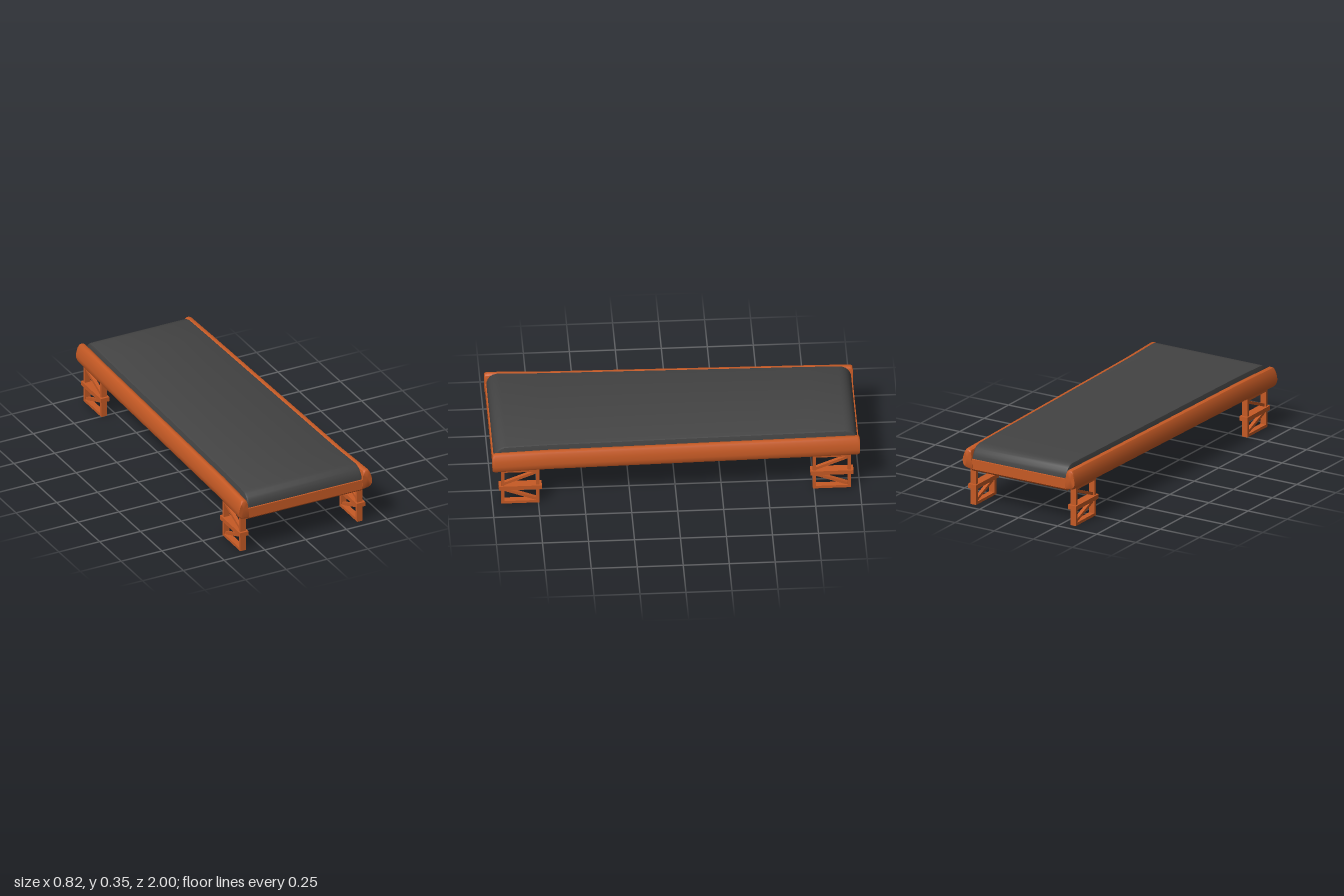
import * as THREE from 'three';
import { toCreasedNormals } from 'three/addons/utils/BufferGeometryUtils.js';

const orange = new THREE.MeshStandardMaterial({ color: 0xc65a25 });
const rubber = new THREE.MeshStandardMaterial({ color: 0x444444 });

// Half width of the belt along the tapering bed
const taper = [[-1, 0.30], [-0.75, 0.307], [0.7, 0.335], [1, 0.35]];
function halfWidth(z) {
  for (let i = 1; i < taper.length; i++) {
    const [z0, w0] = taper[i - 1], [z1, w1] = taper[i];
    if (z <= z1) return w0 + (w1 - w0) * (z - z0) / (z1 - z0);
  }
  return 0.35;
}

// Skin over counter-clockwise sections ordered by rising z, capped at both ends
function loft(sections) {
  const pos = [], tri = (a, b, c) => pos.push(...a, ...b, ...c);
  const n = sections[0].length;
  for (let i = 0; i + 1 < sections.length; i++) {
    for (let j = 0; j < n; j++) {
      const k = (j + 1) % n, s = sections[i], t = sections[i + 1];
      tri(s[j], s[k], t[k]);
      tri(s[j], t[k], t[j]);
    }
  }
  const cap = (s, flip) => {
    const c = [0, 1, 2].map(a => s.reduce((sum, p) => sum + p[a], 0) / n);
    for (let j = 0; j < n; j++) {
      const k = (j + 1) % n;
      if (flip) tri(c, s[k], s[j]); else tri(c, s[j], s[k]);
    }
  };
  cap(sections[0], true);
  cap(sections[sections.length - 1], false);
  const geo = new THREE.BufferGeometry();
  geo.setAttribute('position', new THREE.Float32BufferAttribute(pos, 3));
  return toCreasedNormals(geo, 0.6);
}

function add(parent, name, geometry, material = orange) {
  const mesh = new THREE.Mesh(geometry, material);
  mesh.name = name;
  parent.add(mesh);
  return mesh;
}

// Bulging side rail: offsets from the belt edge, with softened ends
function railGeometry(side) {
  const profile = [[-0.004, 0.216], [0.036, 0.222], [0.049, 0.228], [0.056, 0.242], [0.058, 0.265],
    [0.053, 0.295], [0.046, 0.32], [0.039, 0.331], [0.029, 0.335], [0.017, 0.334], [0.008, 0.327], [0.003, 0.31], [0, 0.28]];
  const stations = [[-1, 0.8], [-0.996, 0.92], [-0.985, 1], [-0.75, 1], [0.7, 1], [0.985, 1], [0.996, 0.92], [1, 0.8]];
  return loft(stations.map(([z, s]) => {
    const loop = profile.map(([x, y]) => [side * (halfWidth(z) + x), 0.275 + (y - 0.275) * s, z]);
    return side > 0 ? loop : loop.reverse();
  }));
}

// Bed between the rails
function bedGeometry() {
  const stations = [[-0.997, 0.222, 0.278], [-0.985, 0.21, 0.28], [-0.75, 0.21, 0.28],
    [0.7, 0.21, 0.28], [0.985, 0.21, 0.28], [0.997, 0.222, 0.278]];
  return loft(stations.map(([z, lo, hi]) => {
    const w = halfWidth(z) + 0.003;
    return [[-w, lo, z], [w, lo, z], [w, hi, z], [-w, hi, z]];
  }));
}

// Belt rolling down over both ends
function beltGeometry() {
  const end = [[0.99, 0.28], [0.988, 0.3], [0.981, 0.32], [0.97, 0.335], [0.955, 0.346], [0.938, 0.352], [0.92, 0.354]];
  const stations = [...end.map(([z, y]) => [-z, y]), [-0.75, 0.354], [0.7, 0.354], ...end.slice().reverse()];
  return loft(stations.map(([z, y]) => {
    const w = halfWidth(z);
    return [[-w, 0.25, z], [w, 0.25, z], [w, y - 0.012, z], [w - 0.003, y - 0.004, z], [w - 0.012, y, z],
      [-w + 0.012, y, z], [-w + 0.003, y - 0.004, z], [-w, y - 0.012, z]];
  }));
}

// Flat braced frame, centred on its own z
function makeLeg() {
  const leg = new THREE.Group(), t = 0.034;
  const bar = (name, w, h, d, y, z) => {
    const m = add(leg, name, new THREE.BoxGeometry(w, h, d));
    m.position.set(0, y, z);
    return m;
  };
  for (const s of [-1, 1]) bar('legPost', t, 0.222, 0.018, 0.111, s * 0.095);
  bar('footBar', t, 0.016, 0.2, 0.008, 0);
  bar('topBar', t, 0.016, 0.2, 0.214, 0);
  bar('middleBand', 0.052, 0.025, 0.234, 0.107, 0);
  for (const [y0, y1] of [[0.125, 0.2], [0.09, 0.018]]) {
    const brace = bar('brace', 0.02, 0.016, Math.hypot(0.185, y1 - y0), (y0 + y1) / 2, 0);
    brace.rotation.x = Math.atan2(y1 - y0, 0.185);
  }
  return leg;
}

export function createModel() {
  const model = new THREE.Group();
  model.name = 'conveyor';
  add(model, 'bed', bedGeometry());
  add(model, 'belt', beltGeometry(), rubber);
  for (const side of [-1, 1]) {
    add(model, side > 0 ? 'leftRail' : 'rightRail', railGeometry(side));
    for (const [name, x, z] of [['frontLeg', 0.358, 0.848], ['backLeg', 0.319, -0.848]]) {
      const leg = makeLeg();
      leg.name = name;
      leg.position.set(side * x, 0, z);
      model.add(leg);
    }
  }
  return model;
}
